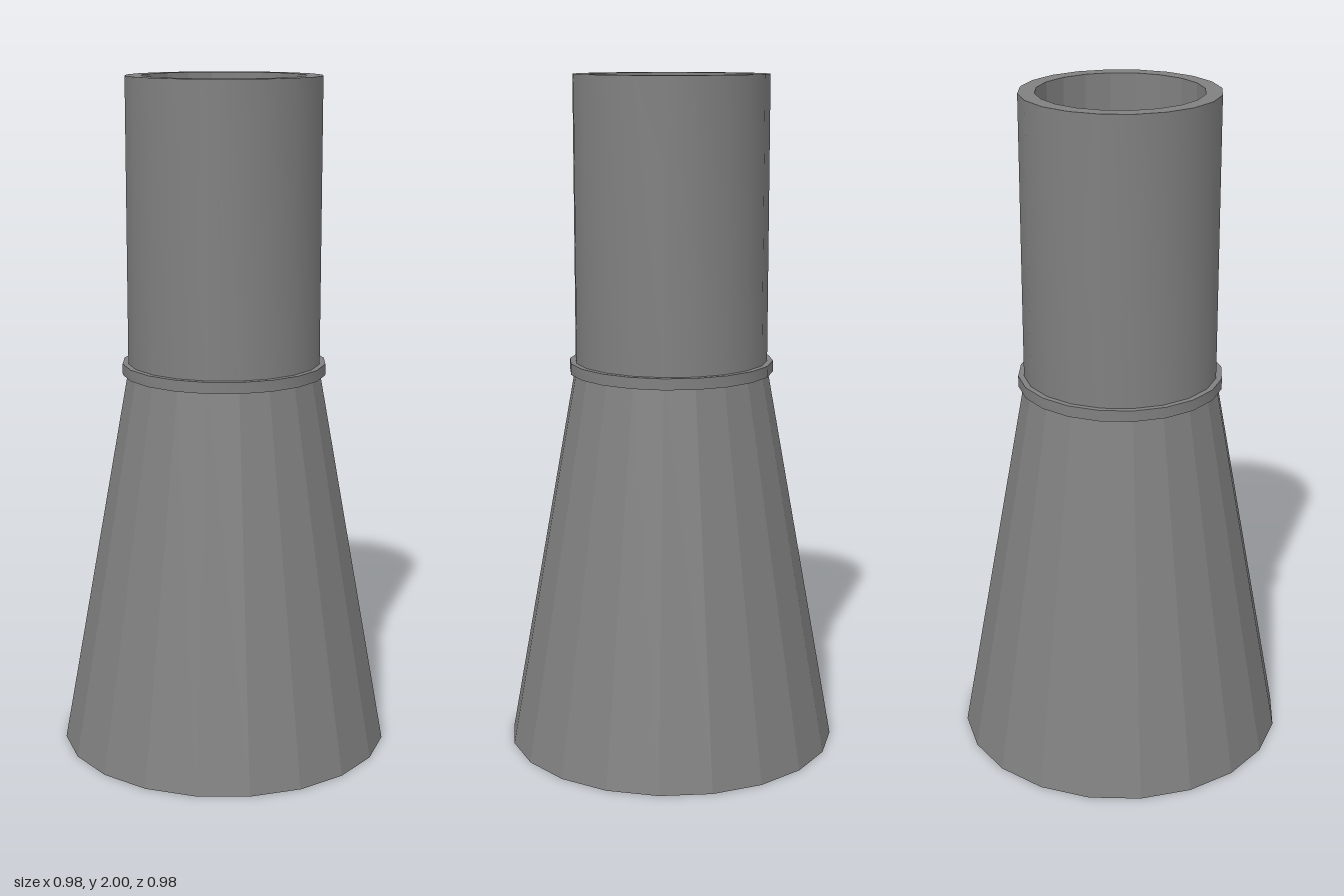
import * as THREE from 'three';
import { toCreasedNormals } from 'three/addons/utils/BufferGeometryUtils.js';

const SIDES = 20;

// Revolve a profile of [radius, height] points, listed upward along the outside.
function turned(name, profile, flat = false) {
  const points = profile.map(([r, y]) => new THREE.Vector2(r, y));
  let geometry = new THREE.LatheGeometry(points, SIDES);
  if (!flat) geometry = toCreasedNormals(geometry, 0.5);
  const material = new THREE.MeshStandardMaterial({
    color: 0x808080, flatShading: flat, side: THREE.DoubleSide,
  });
  const mesh = new THREE.Mesh(geometry, material);
  mesh.name = name;
  return mesh;
}

export function createModel() {
  const model = new THREE.Group();
  model.name = 'chimney';

  // Faceted flaring skirt, hollow and open underneath
  model.add(turned('flaredBase', [[0.492, 0], [0.285, 1.15]], true));

  // Thin ring at the joint
  model.add(turned('collar', [[0, 1.135], [0.302, 1.135], [0.302, 1.168], [0.285, 1.168]]));

  // Smooth upright pipe and its rim
  model.add(turned('pipe', [[0.285, 1.15], [0.285, 2], [0.238, 2]]));

  // Shallow faceted recess in the mouth, with a flat floor
  model.add(turned('mouth', [[0.238, 2], [0.238, 1.81], [0, 1.81]], true));

  return model;
}
